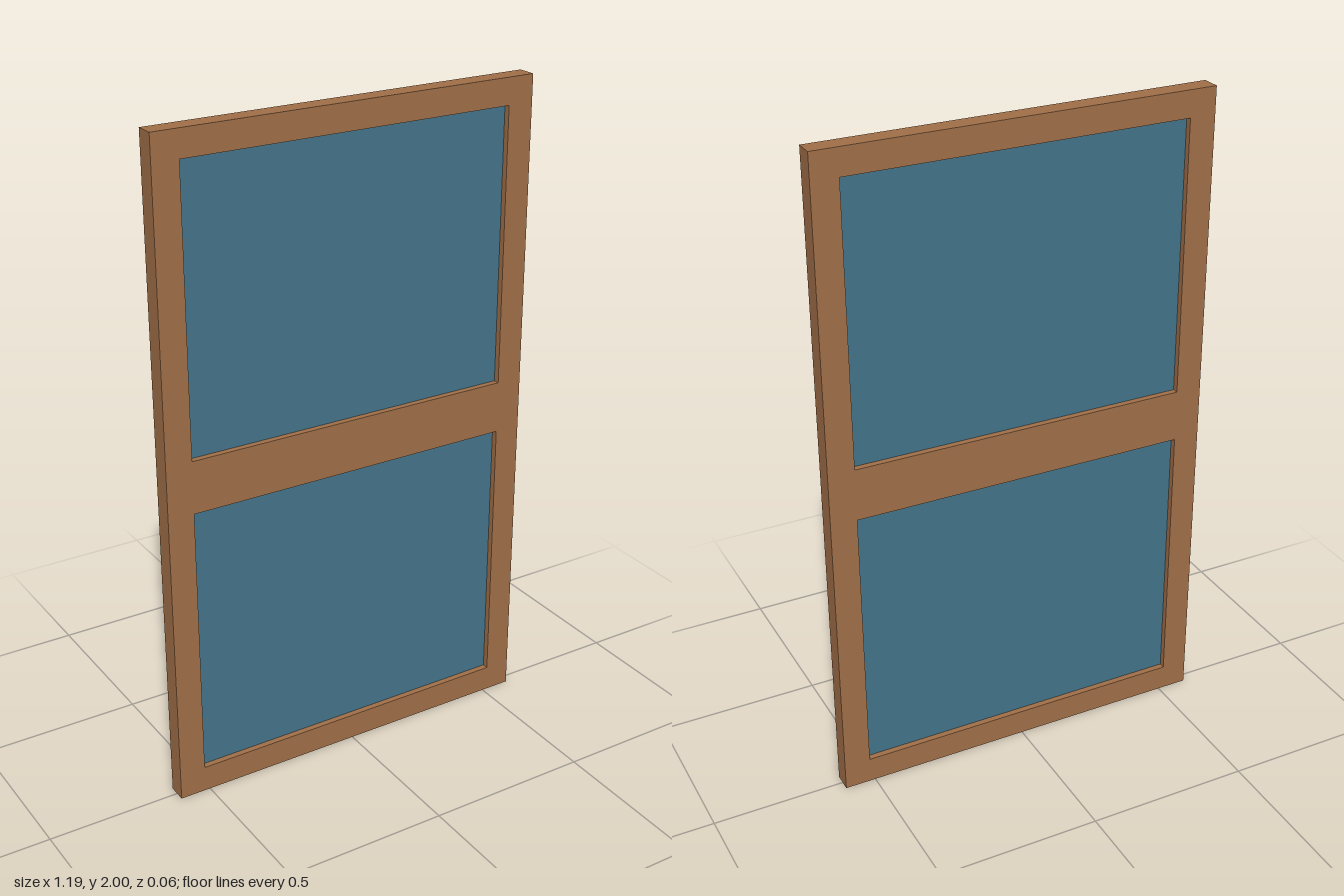
import * as THREE from 'three';

const WIDTH = 1.19, HEIGHT = 2, DEPTH = 0.058, BORDER = 0.08;

function rectangle(PathType, x, y, w, h) {
  return new PathType([
    new THREE.Vector2(x, y),
    new THREE.Vector2(x + w, y),
    new THREE.Vector2(x + w, y + h),
    new THREE.Vector2(x, y + h),
  ]);
}

export function createModel() {
  const wood = new THREE.MeshStandardMaterial({ name: 'brown wood', color: 0x9f6e47 });
  const glass = new THREE.MeshStandardMaterial({ name: 'blue glass', color: 0x437289 });

  const model = new THREE.Group();
  model.name = 'window';

  const paneW = WIDTH - 2 * BORDER;
  const paneH = HEIGHT / 2 - 2 * BORDER;
  const outline = rectangle(THREE.Shape, -WIDTH / 2, 0, WIDTH, HEIGHT);

  // One opening with a recessed pane in each half of the frame
  ['lower', 'upper'].forEach((label, i) => {
    const bottom = i * HEIGHT / 2 + BORDER;
    outline.holes.push(rectangle(THREE.Path, -paneW / 2, bottom, paneW, paneH));

    const pane = new THREE.Mesh(new THREE.BoxGeometry(paneW, paneH, 0.02), glass);
    pane.name = label + 'Pane';
    pane.position.y = bottom + paneH / 2;
    model.add(pane);
  });

  // Frame with its middle rail, in one piece
  const frameGeometry = new THREE.ExtrudeGeometry(outline, { depth: DEPTH, bevelEnabled: false });
  frameGeometry.translate(0, 0, -DEPTH / 2);
  const frame = new THREE.Mesh(frameGeometry, wood);
  frame.name = 'frame';
  model.add(frame);

  return model;
}
